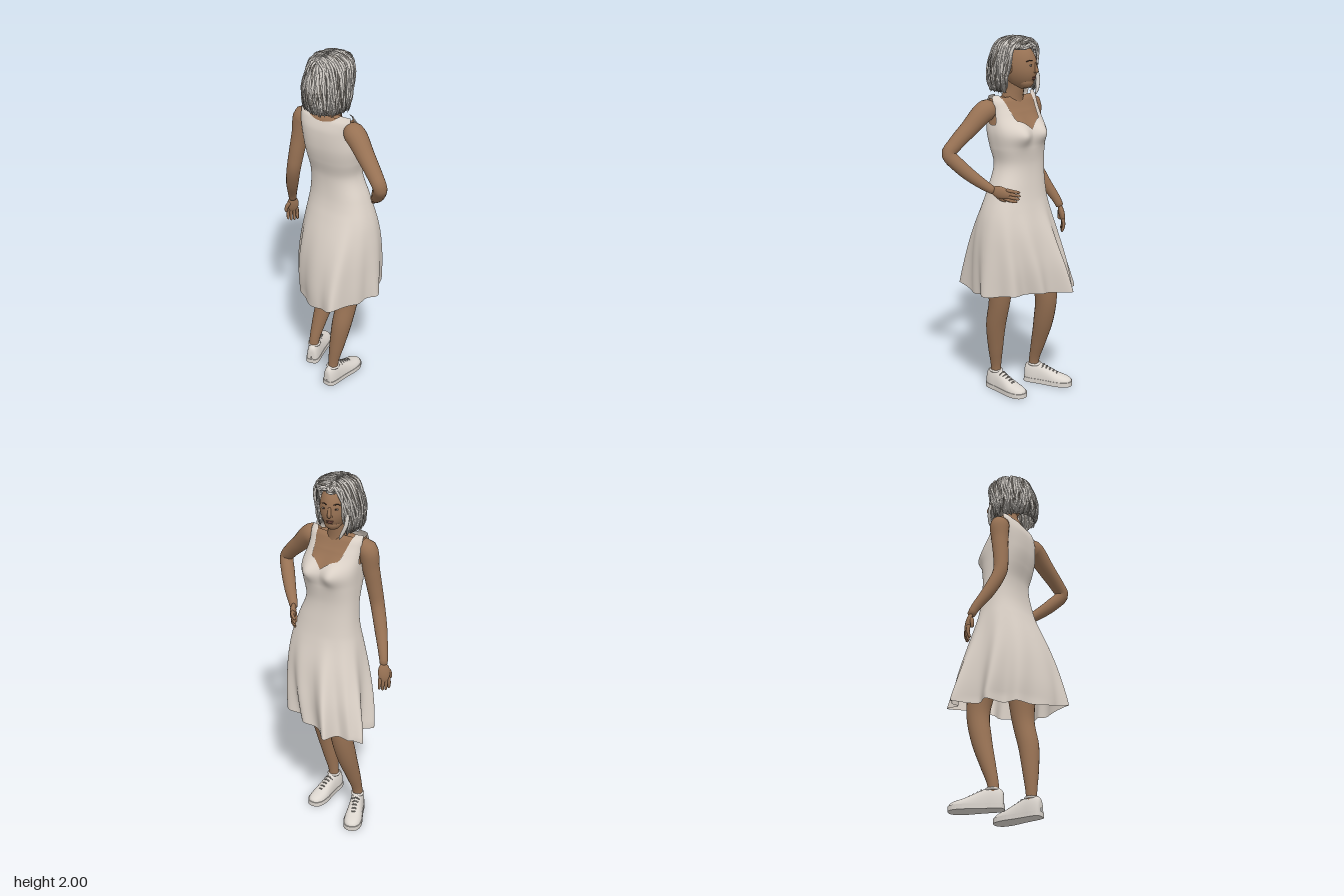
import * as THREE from 'three';
import { mergeVertices } from 'three/addons/utils/BufferGeometryUtils.js';

const V = (x, y, z) => new THREE.Vector3(x, y, z);
const { lerp, clamp, smoothstep } = THREE.MathUtils;
const TAU = Math.PI * 2;

function material(name, color, side = THREE.FrontSide) {
  const m = new THREE.MeshStandardMaterial({ color, side });
  m.name = name;
  return m;
}
const MAT = {
  skin: material('skin', 0x987254),
  dress: material('dress fabric', 0xdcd2c8, THREE.DoubleSide),
  shoe: material('shoe white', 0xdcd6cf),
  lace: material('lace grey', 0x9a958f),
  hair: material('silver hair', 0xcfcac4, THREE.DoubleSide),
  hairDark: material('hair shadow tone', 0x7b756e, THREE.DoubleSide),
  lips: material('lips', 0x7d4f42),
  brow: material('brow and iris', 0x33261f),
  eye: material('eye white', 0xa89a8d),
};

function mesh(name, geometry, mat) {
  const m = new THREE.Mesh(geometry, mat);
  m.name = name;
  return m;
}

// Smooth grid surface: u runs around, v runs along
function surface(fn, nu, nv) {
  const pos = [], idx = [];
  for (let j = 0; j <= nv; j++)
    for (let i = 0; i <= nu; i++) pos.push(...fn(i / nu, j / nv).toArray());
  for (let j = 0; j < nv; j++)
    for (let i = 0; i < nu; i++) {
      const a = j * (nu + 1) + i, b = a + nu + 1;
      idx.push(a, b, a + 1, b, b + 1, a + 1);
    }
  let g = new THREE.BufferGeometry();
  g.setAttribute('position', new THREE.Float32BufferAttribute(pos, 3));
  g.setIndex(idx);
  g = mergeVertices(g, 1e-5);
  g.computeVertexNormals();
  return g;
}

// Round-ended tube through [x, y, z, radius] points
function limb(name, pts, mat, seg = 28, sides = 16) {
  const path = new THREE.CatmullRomCurve3(pts.map(p => V(p[0], p[1], p[2])));
  const radii = new THREE.CatmullRomCurve3(pts.map((p, i) => V(p[3], i * 0.2, 0)), false, 'catmullrom', 0.5);
  const f = path.computeFrenetFrames(seg), len = path.getLength();
  return mesh(name, surface((u, v) => {
    const k = Math.round(v * seg), a = u * TAU;
    let r = radii.getPoint(path.getUtoTmapping(v)).x;
    const e = Math.min(v, 1 - v) * len / r;
    if (e < 1) r *= Math.sqrt(Math.max(0, 1 - (1 - e) ** 2));
    return path.getPointAt(v).addScaledVector(f.normals[k], r * Math.cos(a)).addScaledVector(f.binormals[k], -r * Math.sin(a));
  }, sides, seg), mat);
}

function ball(name, x, y, z, sx, sy, sz, mat) {
  const m = mesh(name, new THREE.SphereGeometry(1, 20, 14), mat);
  m.position.set(x, y, z);
  m.scale.set(sx, sy, sz);
  return m;
}

// Body sections: y, x min, x max, z front, z back
const ROWS = [
  [1.69, -.193, .135, .035, .1], [1.66, -.193, .137, 0, .13], [1.6, -.188, .133, -.04, .15],
  [1.5, -.183, .145, -.105, .15], [1.42, -.178, .135, -.105, .135], [1.32, -.175, .12, -.098, .11],
  [1.2, -.18, .165, -.112, .115], [1.08, -.195, .205, -.135, .145], [.97, -.207, .225, -.16, .175],
  [.86, -.22, .235, -.18, .2], [.75, -.235, .24, -.2, .22], [.64, -.25, .245, -.21, .24], [.53, -.26, .25, -.22, .25],
];
// Fluted hem outline, from +x round through +z
const HEM = new THREE.CatmullRomCurve3([
  [.25, 0], [.225, .06], [.2, .13], [.18, .262], [.13, .28], [.05, .257], [-.06, .225], [-.15, .17], [-.19, .11], [-.265, .05],
  [-.235, -.03], [-.312, -.135], [-.275, -.175], [-.2, -.175], [-.17, -.28], [-.08, -.205], [0, -.212], [.07, -.15], [.15, -.15], [.21, -.08],
].map(p => V(p[0], 0, p[1])), true);

function section(y) {
  let i = 0;
  while (i < ROWS.length - 2 && y < ROWS[i + 1][0]) i++;
  const R = n => ROWS[clamp(n, 0, ROWS.length - 1)];
  const t = clamp((y - R(i)[0]) / (R(i + 1)[0] - R(i)[0]), 0, 1);
  return [1, 2, 3, 4].map(c => {
    const [a, b, d, e] = [R(i - 1)[c], R(i)[c], R(i + 1)[c], R(i + 2)[c]];
    return b + .5 * t * (d - a + t * (2 * a - 5 * b + 4 * d - e + t * (3 * (b - d) + e - a)));
  });
}
const round = (c, power = .75) => Math.sign(c) * Math.abs(c) ** power;

function bodyPoint(u, y, k) {
  const chest = smoothstep(y, 1.25, 1.5), power = lerp(.84, .75, chest);
  const a = u * TAU, [x0, x1, z0, z1] = section(y), ux = round(Math.cos(a), power), uz = round(Math.sin(a), power);
  const p = V((x0 + x1) / 2 + ux * k * (x1 - x0) / 2, y, (z0 + z1) / 2 + uz * k * (z1 - z0) / 2);
  if (uz < 0) p.z -= -uz * .032 * Math.exp(-(((Math.abs(ux) - .45) / .3) ** 2) - ((y - 1.49) / .055) ** 2);
  else p.z -= .015 * chest * ux * uz;
  // Skirt flares into the hem with soft folds
  const w = clamp((1.14 - y) / .54, 0, 1) ** 1.5, h = HEM.getPoint(u % 1);
  const fold = 1 + .035 * w * Math.sin(11 * a + 3 * y);
  p.x = lerp(p.x, h.x, w) * fold;
  p.z = lerp(p.z, h.z, w) * fold;
  return p;
}

// Dress edge: scooped back, wide sweetheart front, shoulder straps and armholes
function dressTop(u) {
  const a = u * TAU, ux = Math.abs(round(Math.cos(a))), front = Math.sin(a) < 0;
  const inner = front ? 1.515 + .045 * Math.sin(Math.min(ux / .5, 1) * Math.PI / 2) : 1.65 + .03 * (ux / .6) ** 2;
  const top = lerp(Math.min(inner, 1.69), 1.69, front ? smoothstep(ux, .48, .72) : smoothstep(ux, .44, .66));
  return lerp(top, 1.54, smoothstep(Math.abs(Math.cos(a)), .935, 1));
}

function createHand(name, wrist, dir, palm, thumbSide) {
  const g = new THREE.Group();
  g.name = name;
  const y = dir.clone().normalize().negate(), x = y.clone().cross(palm).normalize(), z = x.clone().cross(y);
  g.applyMatrix4(new THREE.Matrix4().makeBasis(x, y, z).setPosition(wrist));
  g.add(ball('palm', 0, -.045, 0, .033, .055, .017, MAT.skin));
  for (let i = 0; i < 4; i++) {
    const fx = (i - 1.5) * .016, l = .07 - .008 * Math.abs(i - 1.5);
    g.add(limb('finger', [[fx * .9, -.065, 0, .011], [fx * 1.1, -.085 - l * .4, .004, .009], [fx * 1.1, -.085 - l, .022, .007]], MAT.skin, 10, 8));
  }
  g.add(limb('thumb', [[.015 * thumbSide, -.02, .004, .012], [.036 * thumbSide, -.055, .012, .011], [.038 * thumbSide, -.088, .018, .008]], MAT.skin, 10, 8));
  return g;
}

function createShoe(name, x, z, yaw) {
  const g = new THREE.Group();
  g.name = name;
  // Upper: z, half width, height
  const prof = [[.14, .002, .05], [.133, .028, .1], [.1, .038, .118], [.05, .04, .112], [0, .044, .092], [-.06, .05, .066], [-.11, .043, .052], [-.134, .024, .04], [-.14, .002, .028]];
  const c = new THREE.CatmullRomCurve3(prof.map(p => V(p[1], p[2], p[0])));
  g.add(mesh('upper', surface((u, v) => {
    const p = c.getPoint(v), s = Math.sin(u * TAU), k = Math.cos(u * TAU);
    return V(p.x * Math.sign(k) * Math.abs(k) ** .8, .015 + (s > 0 ? (p.y - .015) * s ** .9 : s * .005), p.z);
  }, 28, 32), MAT.shoe));
  // Sole
  const outline = [...prof.map(p => [p[1] + .002, -p[0] * 1.02]), ...prof.slice(1, -1).reverse().map(p => [-p[1] - .002, -p[0] * 1.02])];
  const sole = new THREE.ExtrudeGeometry(new THREE.Shape().setFromPoints(new THREE.CatmullRomCurve3(outline.map(p => V(p[0], p[1], 0)), true).getPoints(48).map(p => new THREE.Vector2(p.x, p.y))),
    { depth: .026, bevelEnabled: false });
  g.add(mesh('sole', sole.rotateX(-Math.PI / 2), MAT.shoe));
  // Collar and laces
  const collar = mesh('collar', new THREE.TorusGeometry(.031, .007, 8, 24).rotateX(Math.PI / 2), MAT.shoe);
  collar.position.set(0, .106, .082);
  g.add(collar);
  for (let i = 0; i < 5; i++) {
    const lz = .03 - i * .02, h = .109 - i * .0095;
    g.add(limb('lace', [[-.026, h - .02, lz, .004], [0, h, lz - .004, .004], [.026, h - .02, lz, .004]], MAT.lace, 8, 6));
  }
  g.position.set(x, 0, z);
  g.rotation.y = yaw;
  return g;
}

function createHead() {
  const g = new THREE.Group();
  g.name = 'head';
  const skull = new THREE.SphereGeometry(1, 36, 28), p = skull.attributes.position;
  for (let i = 0; i < p.count; i++) {
    const y = p.getY(i), low = Math.max(0, -y), z = p.getZ(i);
    p.setXYZ(i, p.getX(i) * .077 * (1 - .2 * low * low), y * .122, z * .1 * (z > 0 ? 1 - .4 * low : 1 + .12 * low));
  }
  skull.computeVertexNormals();
  g.add(mesh('skull', skull, MAT.skin));
  g.add(limb('nose', [[0, .025, -.091, .008], [0, -.002, -.1, .009], [0, -.02, -.105, .011], [0, -.028, -.095, .01]], MAT.skin, 14, 12));
  g.add(ball('jaw', 0, -.078, -.04, .045, .038, .045, MAT.skin));
  g.add(ball('upper lip', 0, -.053, -.092, .02, .005, .005, MAT.lips), ball('lower lip', 0, -.062, -.089, .017, .006, .006, MAT.lips));
  for (const s of [-1, 1]) {
    g.add(ball('eye', s * .032, .012, -.087, .012, .005, .006, MAT.eye), ball('iris', s * .032, .012, -.09, .006, .005, .004, MAT.brow));
    g.add(limb('eyebrow', [[s * .015, .033, -.093, .002], [s * .032, .038, -.087, .003], [s * .052, .032, -.07, .002]], MAT.brow, 10, 8));
    g.add(ball('nostril wing', s * .01, -.025, -.095, .007, .006, .009, MAT.skin));
    g.add(ball('ear', s * .077, -.005, .015, .007, .028, .016, MAT.skin));
  }
  g.position.set(-.035, 1.835, .014);
  g.rotation.y = .3;
  return g;
}

function createHair() {
  const g = new THREE.Group();
  g.name = 'hair';
  let seed = 7;
  const rnd = () => (seed = (seed * 16807) % 2147483647) / 2147483647;
  const prof = new THREE.CatmullRomCurve3([[0, 1.983], [.47, 1.973], [.82, 1.942], [.96, 1.88], [1, 1.8], [.97, 1.74], [.85, 1.69]].map(q => V(q[0], q[1], 0)));
  // phi = 0 points forward (-z), positive towards +x; the crown sits forward of the nape
  const point = (phi, t, out = 0) => {
    const q = prof.getPoint(t), r = q.x + out * 7 * Math.min(1, t * 4);
    const cz = lerp(.064, .036, smoothstep(q.y, 1.78, 1.96));
    return V(-.035 + .118 * r * Math.sin(phi), q.y + out * Math.max(0, 1 - t * 2), cz - .131 * r * Math.cos(phi));
  };
  // Face opening, wider on the +x side
  const end = phi => lerp(.38, 1, smoothstep(Math.abs(phi - .12), .82, 1.02));
  g.add(mesh('hair cap', surface((u, v) => {
    const phi = (u - .5) * TAU;
    return point(phi, v * end(phi) * .95);
  }, 72, 24), MAT.hairDark));
  // Locks sweep sideways from a part line, then hang in loose waves
  const count = 200;
  for (let i = 0; i < count; i++) {
    const base = (i / count - .5) * TAU, short = end(base) < .7;
    const phiEnd = base + (short ? .3 * Math.sign(base - .12) : .12 * (rnd() - .5));
    const stop = end(base) * (short ? 1 : .88 + .12 * rnd()), out = .001 + .008 * rnd(), wave = rnd() * TAU, start = .12 + .25 * rnd();
    const x0 = -.08 + .05 * rnd(), z0 = start * Math.cos(base), x1 = stop * Math.sin(phiEnd), z1 = stop * Math.cos(phiEnd);
    const pts = [];
    for (let k = 0; k <= 8; k++) {
      const s = k / 8, dx = lerp(x0, x1, s), dz = lerp(z0, z1, s ** 1.25);
      const phi = Math.atan2(dx, dz) + .09 * s * Math.sin(wave + k * 1.1);
      const p = point(phi, Math.min(Math.hypot(dx, dz), 1), out + .004 * Math.sin(wave * 2 + k * 1.2));
      pts.push([p.x, p.y, p.z, [.003, .0055, .006, .0065, .0065, .006, .0055, .0045, .002][k]]);
    }
    g.add(limb('lock', pts, i % 5 === 1 ? MAT.hairDark : MAT.hair, 22, 6));
  }
  // Loose front lock
  g.add(limb('front lock', [[-.125, 1.85, -.01, .008], [-.135, 1.77, -.03, .011], [-.115, 1.71, -.045, .009], [-.1, 1.68, -.045, .003]], MAT.hair, 20, 8));
  return g;
}

export function createModel() {
  const model = new THREE.Group();
  model.name = 'standing woman in dress';
  // Torso and neck
  model.add(mesh('torso', surface((u, v) => bodyPoint(u, lerp(1.3, 1.676, v), .93), 120, 60), MAT.skin));
  model.add(limb('shoulders', [[-.16, 1.615, .07, .045], [-.03, 1.635, .07, .045], [.11, 1.615, .07, .045]], MAT.skin));
  model.add(limb('neck', [[-.025, 1.58, .065, .075], [-.028, 1.66, .055, .06], [-.032, 1.73, .035, .048], [-.035, 1.82, .02, .05]], MAT.skin));
  // Dress
  model.add(mesh('dress', surface((u, v) => {
    const a = u * TAU, hem = .597 - .036 * Math.cos(a - 2.4) + .035 * Math.exp(-(((a - 1.1) / .4) ** 2)) + .004 * Math.sin(9 * a);
    return bodyPoint(u, v < .7 ? lerp(hem, 1.4, v / .7) : lerp(1.4, dressTop(u), (v - .7) / .3), 1);
  }, 240, 80), MAT.dress));
  // Arms: one resting on the hip, one hanging
  model.add(limb('bentArm', [[.09, 1.615, .07, .045], [.15, 1.612, .075, .057], [.25, 1.525, .1, .047], [.33, 1.45, .122, .04], [.366, 1.405, .13, .037],
    [.325, 1.335, .085, .037], [.265, 1.265, .025, .031], [.21, 1.215, -.025, .023], [.195, 1.203, -.045, .02]], MAT.skin, 48, 18));
  model.add(createHand('handOnHip', V(.205, 1.212, -.03), V(-.5, -.27, -.82), V(-.85, 0, .5), 1));
  model.add(limb('hangingArm', [[-.14, 1.615, .07, .042], [-.19, 1.61, .075, .054], [-.21, 1.5, .088, .046], [-.226, 1.38, .105, .041], [-.242, 1.29, .11, .038],
    [-.288, 1.17, .075, .034], [-.343, 1.05, .018, .024], [-.358, 1.0, 0, .021]], MAT.skin, 40, 18));
  model.add(createHand('hangingHand', V(-.355, 1.012, .002), V(-.17, -1, -.12), V(.75, -.1, .65), -1));
  // Legs
  model.add(limb('leftwardLeg', [[-.1, 1, 0, .09], [-.13, .75, -.06, .08], [-.15, .55, -.085, .062], [-.163, .4, -.055, .055], [-.175, .25, -.005, .041], [-.181, .13, .033, .029], [-.182, .05, .038, .03]], MAT.skin, 40, 20));
  model.add(limb('rightwardLeg', [[.08, 1, 0, .09], [.085, .75, .03, .08], [.083, .55, .045, .06], [.074, .4, .083, .055], [.056, .25, .105, .042], [.041, .13, .118, .029], [.04, .05, .12, .03]], MAT.skin, 40, 20));
  model.add(createShoe('forwardShoe', -.217, -.044, .42), createShoe('rearShoe', .04, .037, 0));
  model.add(createHead(), createHair());
  return model;
}
